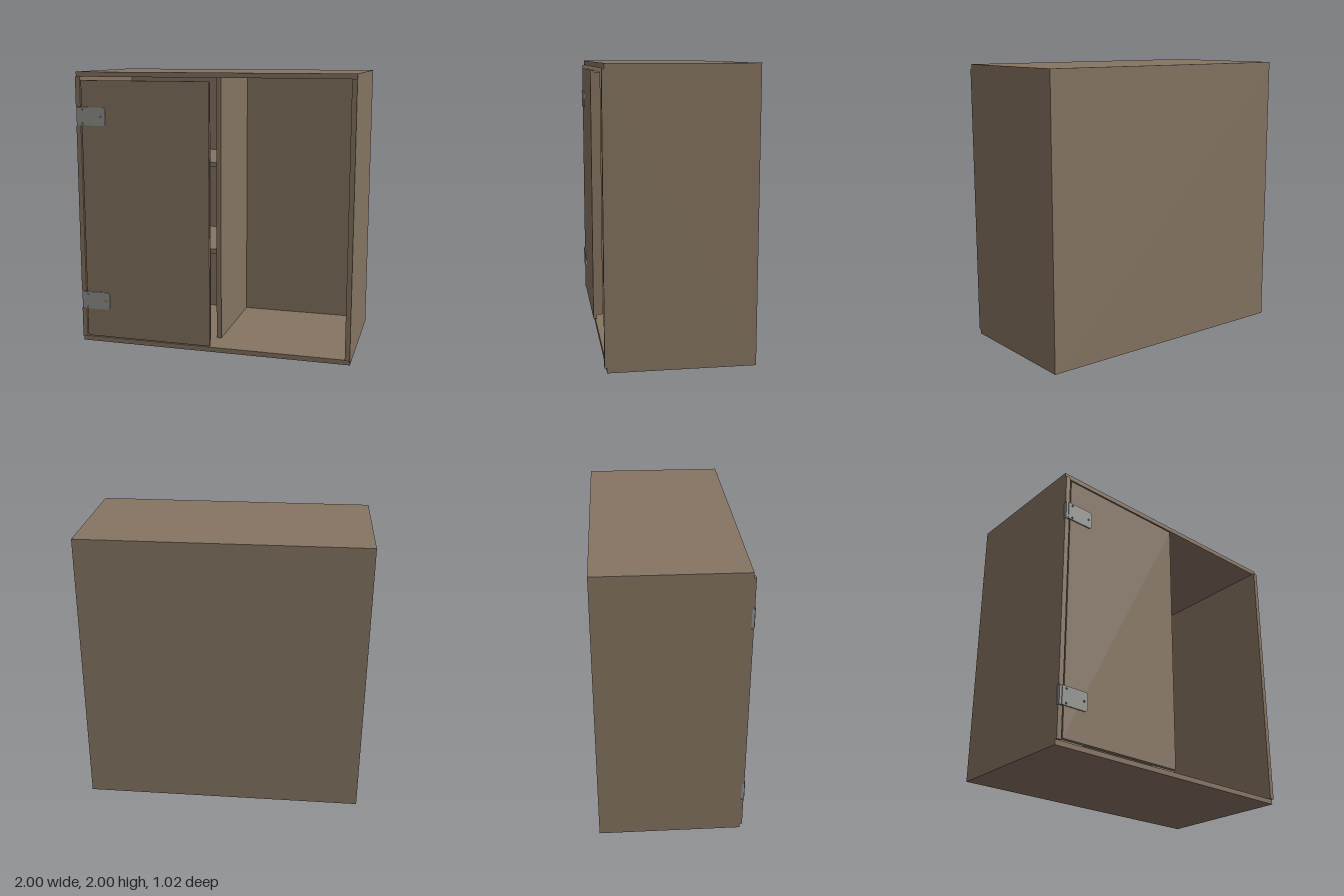
import * as THREE from 'three';

export function createModel() {
  const model = new THREE.Group();
  model.name = 'cabinet';
  const wood = new THREE.MeshStandardMaterial({ color: 0x857462 });
  wood.name = 'brown wood';
  const metal = new THREE.MeshStandardMaterial({ color: 0x93938f });
  metal.name = 'grey metal';

  const add = (name, geometry, material, parent = model) => {
    const mesh = new THREE.Mesh(geometry, material);
    mesh.name = name;
    parent.add(mesh);
    return mesh;
  };
  // Box given by its low and high limits on each axis
  const box = (name, [x0, x1], [y0, y1], [z0, z1], material = wood, parent = model) => {
    const mesh = add(name, new THREE.BoxGeometry(x1 - x0, y1 - y0, z1 - z0), material, parent);
    mesh.position.set((x0 + x1) / 2, (y0 + y1) / 2, (z0 + z1) / 2);
    return mesh;
  };

  // Carcass
  const T = 0.035, back = -0.495, rim = 0.487, front = 0.503;
  const hingeHeights = [0.323, 1.685];
  box('topPanel', [-1, 1], [2 - T, 2], [back, rim]);
  box('bottomPanel', [-1, 1], [0, T], [back, rim]);
  box('backPanel', [-1, 1], [0, 2], [-0.512, back]);

  // Side panels stand proud of the rim; the hinged one has a notch per hinge
  const sidePanel = (name, x, notches) => {
    const s = new THREE.Shape();
    s.moveTo(back, T);
    s.lineTo(front, T);
    for (const y of notches) {
      s.lineTo(front, y - 0.068);
      s.lineTo(rim, y - 0.068);
      s.lineTo(rim, y + 0.068);
      s.lineTo(front, y + 0.068);
    }
    s.lineTo(front, 2 - T);
    s.lineTo(back, 2 - T);
    const g = new THREE.ExtrudeGeometry(s, { depth: T, bevelEnabled: false });
    g.rotateY(-Math.PI / 2); // profile z, extruded towards -x
    add(name, g, wood).position.x = x;
  };
  sidePanel('leftSide', 1, []);
  sidePanel('rightSide', -1 + T, hingeHeights);

  // Interior
  box('divider', [-0.02, 0.015], [T, 2 - T], [back, 0.28]);
  for (const y of [0.695, 1.337]) {
    box('shelf', [-1 + T, -0.02], [y - T / 2, y + T / 2], [back, 0.268]);
  }

  // Door with a stiffening frame behind it
  const door = new THREE.Group();
  door.name = 'door';
  model.add(door);
  box('doorPanel', [-0.957, -0.01], [0.047, 1.94], [0.475, front], wood, door);
  const frameZ = [0.43, 0.475];
  for (const x of [-0.93, -0.055]) {
    box('doorStile', [x, x + T], [0.075, 1.925], frameZ, wood, door);
  }
  for (const y of [0.075, 1.925 - T]) {
    box('doorRail', [-0.93 + T, -0.055], [y, y + T], frameZ, wood, door);
  }

  // Hinges: leaf in the side notch, and a drilled plate on the door
  const plate = new THREE.Shape();
  const h = 0.065, r = 0.028, right = -0.775, left = -0.977;
  plate.moveTo(left, -h);
  plate.lineTo(right - r, -h);
  plate.quadraticCurveTo(right, -h, right, -h + r);
  plate.lineTo(right, h - r);
  plate.quadraticCurveTo(right, h, right - r, h);
  plate.lineTo(left, h);
  for (const [x, y] of [[-0.945, 0.048], [-0.945, -0.05], [-0.805, 0]]) {
    const hole = new THREE.Path();
    hole.absarc(x, y, 0.007, 0, Math.PI * 2, true);
    plate.holes.push(hole);
  }
  const plateGeometry = new THREE.ExtrudeGeometry(plate, { depth: 0.009, bevelEnabled: false, curveSegments: 8 });
  for (const y of hingeHeights) {
    const hinge = new THREE.Group();
    hinge.name = 'hinge';
    hinge.position.y = y;
    model.add(hinge);
    add('hingePlate', plateGeometry, metal, hinge).position.z = front;
    box('hingeLeaf', [-0.995, left], [-h, h], [rim, 0.507], metal, hinge);
  }
  return model;
}
